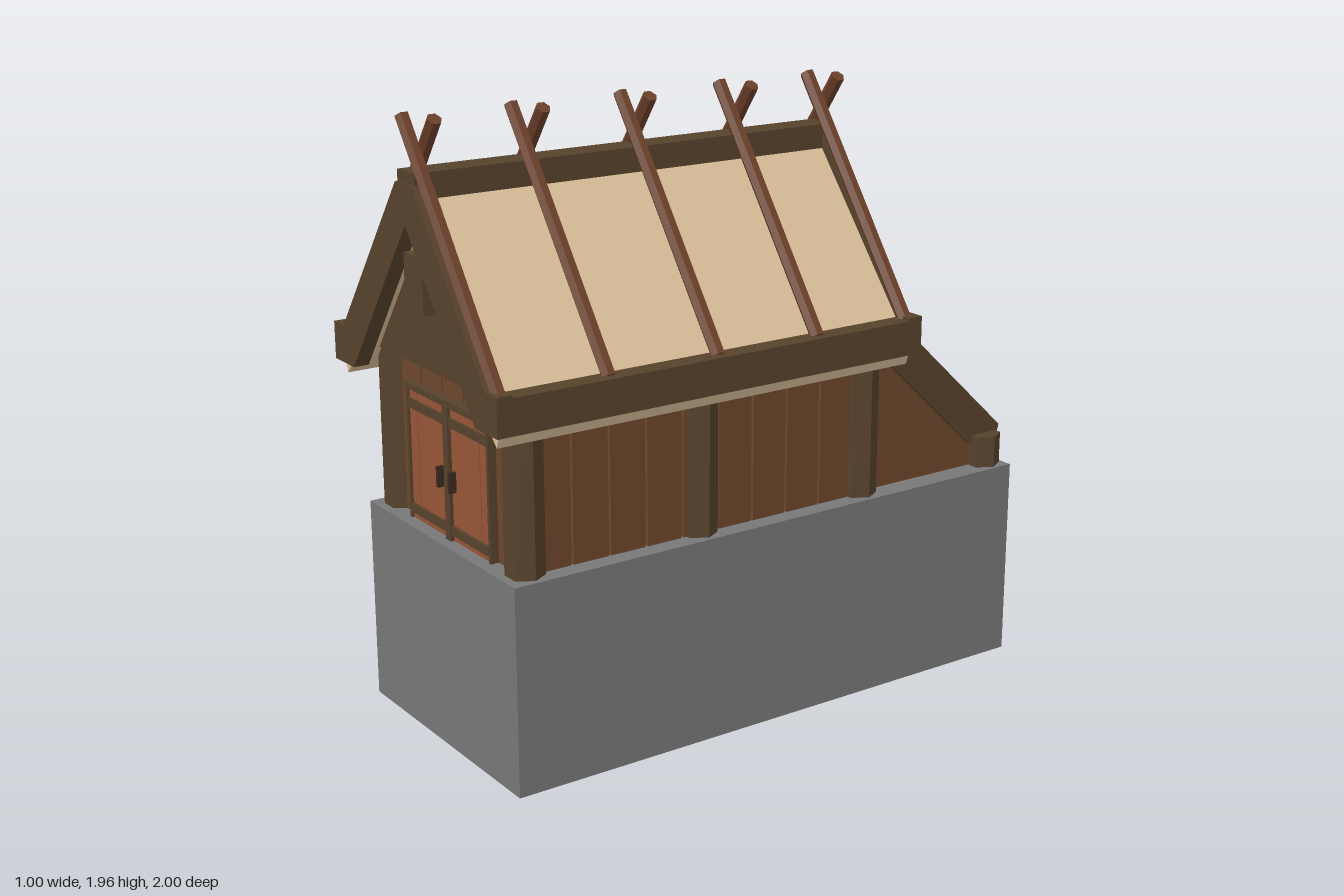
import * as THREE from 'three';

const mat = (name, color) => {
  const m = new THREE.MeshStandardMaterial({ color });
  m.name = name;
  return m;
};

export function createModel() {
  const stone = mat('stone', 0x787878);
  const thatch = mat('thatch', 0xdcc19b);
  const beamWood = mat('dark beam wood', 0x57432c);
  const plankWood = mat('plank wood', 0x6e472c);
  const redWood = mat('red wood', 0x985638);
  const poleWood = mat('pole wood', 0x6b4029);
  const iron = mat('iron', 0x3a2a20);

  const house = new THREE.Group();
  house.name = 'longhouse';

  const add = (name, geo, material, parent = house) => {
    const m = new THREE.Mesh(geo, material);
    m.name = name;
    parent.add(m);
    return m;
  };
  // box given by its lower and upper limits on each axis
  const box = (name, material, x0, x1, y0, y1, z0, z1) => {
    const m = add(name, new THREE.BoxGeometry(x1 - x0, y1 - y0, z1 - z0), material);
    m.position.set((x0 + x1) / 2, (y0 + y1) / 2, (z0 + z1) / 2);
    return m;
  };
  // outline in x,y pushed out from z0 to z1
  const prism = (name, material, pts, z0, z1) => {
    const shape = new THREE.Shape(pts.map(([x, y]) => new THREE.Vector2(x, y)));
    const geo = new THREE.ExtrudeGeometry(shape, { depth: z1 - z0, bevelEnabled: false });
    return add(name, geo.translate(0, 0, z0), material);
  };
  // outline in z,y pushed out from x0 to x1
  const sidePrism = (name, material, pts, x0, x1) => {
    const m = prism(name, material, pts.map(([z, y]) => [-z, y]), x0, x1);
    m.geometry.rotateY(Math.PI / 2);
    return m;
  };
  const mirrored = (pts) => [...pts, ...pts.filter((p) => p[0] !== 0).reverse().map(([x, y]) => [-x, y])];
  // hexagonal post with a corner turned outwards in x
  const post = (name, x, z, y0, y1) => {
    const geo = new THREE.CylinderGeometry(0.06, 0.06, y1 - y0, 6).toNonIndexed();
    geo.rotateY(Math.PI / 2);
    geo.computeVertexNormals();
    add(name, geo, beamWood).position.set(x, (y0 + y1) / 2, z);
  };

  // foundation
  box('foundation', stone, -0.45, 0.45, 0, 0.66, -0.98, 0.93);

  // walls of separate planks with narrow gaps
  const pitch = 0.13, gap = 0.004;
  for (const s of [-1, 1]) {
    for (let i = 0; i < 10; i++) {
      const z1 = 0.828 - i * pitch;
      box('sidePlank', plankWood, s * 0.375 - 0.015, s * 0.375 + 0.015, 0.65, 1.2,
        Math.max(z1 - pitch + gap, -0.4), z1 - gap);
    }
    for (const z of [0.85, 0.24, -0.385]) post('wallPost', s * 0.375, z, 0.65, 1.2);
  }
  for (const z of [0.85, -0.385]) {
    for (let i = -2; i <= 2; i++) {
      box('endPlank', plankWood, i * pitch - 0.065 + gap, i * pitch + 0.065 - gap, 0.65, 1.2, z - 0.015, z + 0.015);
    }
  }

  // double door
  for (const s of [-1, 1]) {
    const span = (a, b) => [Math.min(s * a, s * b), Math.max(s * a, s * b)];
    box('doorLeaf', redWood, ...span(0.012, 0.187), 0.66, 1.085, 0.86, 0.885);
    box('doorLeaf', redWood, ...span(0.191, 0.24), 0.66, 1.085, 0.86, 0.885);
    box('doorJamb', beamWood, ...span(0.238, 0.25), 0.66, 1.095, 0.86, 0.892);
    for (const y of [0.68, 1.02]) box('doorBand', beamWood, ...span(0.015, 0.24), y, y + 0.03, 0.88, 0.893);
    box('doorHandle', iron, ...span(0.03, 0.042), 0.82, 0.885, 0.88, 0.908);
  }
  box('doorLintel', beamWood, -0.25, 0.25, 1.08, 1.1, 0.86, 0.895);
  box('doorMiddleStrip', beamWood, -0.012, 0.018, 0.66, 1.085, 0.86, 0.897);

  // roof covering
  for (const s of [-1, 1]) {
    const slab = [[0, 1.78], [0, 1.69], [0.4, 1.15], [0.46, 1.09], [0.475, 1.135], [0.475, 1.188]];
    prism('roofSlope', thatch, slab.map(([x, y]) => [s * x, y]), -0.5, 0.98);
    box('eaveBeam', beamWood, s > 0 ? 0.425 : -0.5, s > 0 ? 0.5 : -0.425, 1.13, 1.24, -0.52, 0.995);
  }
  box('ridgeBeam', beamWood, -0.05, 0.05, 1.7, 1.795, -0.515, 0.992);

  // gables: a frame of sloping boards over a set-back panel
  const frame = [
    ...mirrored([[0.05, 1.76], [0.435, 1.25], [0.5, 1.25], [0.5, 1.13], [0.375, 1.13]]),
  ];
  frame.splice(5, 0, [0, 1.64]);
  const panel = mirrored([[0, 1.7], [0.4, 1.18]]);
  for (const [z, d] of [[0.95, 1], [-0.525, -1]]) {
    prism('gableFrame', beamWood, frame, z, z + 0.05);
    const p = d > 0 ? 0.88 : -0.44;
    prism('gablePanel', beamWood, panel, p, p + 0.03);
    const q = d > 0 ? 0.9 : -0.51;
    box('gableBlock', beamWood, -0.055, 0.055, 1.38, 1.55, q, q + 0.08);
  }

  // crossed roof poles
  const zRight = [0.968, 0.61, 0.228, -0.142, -0.49];
  const zLeft = [0.922, 0.565, 0.192, -0.188, -0.53];
  for (const [s, zs] of [[1, zRight], [-1, zLeft]]) {
    const from = new THREE.Vector2(s * 0.46, 1.235), to = new THREE.Vector2(s * -0.055, 1.945);
    const dir = to.clone().sub(from);
    for (const z of zs) {
      const geo = new THREE.CylinderGeometry(0.023, 0.023, dir.length(), 6).toNonIndexed();
      geo.computeVertexNormals();
      const m = add('roofPole', geo, poleWood);
      m.position.set((from.x + to.x) / 2, (from.y + to.y) / 2, z);
      m.rotation.z = Math.atan2(dir.y, dir.x) - Math.PI / 2;
    }
  }

  // lean-to at the back
  const slope = [[-0.45, 1.265], [-0.998, 0.752], [-0.98, 0.728], [-0.45, 1.225]];
  for (let i = 0; i < 7; i++) {
    const x = -0.35 + i * 0.1;
    sidePrism('leanToRoofPlank', redWood, slope, x + 0.002, x + 0.098);
  }
  for (const s of [-1, 1]) {
    const at = (x, t) => [s * x - t / 2, s * x + t / 2];
    sidePrism('leanToRake', beamWood,
      [[-0.44, 1.29], [-0.98, 0.785], [-0.97, 0.74], [-0.85, 0.74], [-0.44, 1.125]], ...at(0.366, 0.042));
    sidePrism('leanToWall', plankWood,
      [[-0.39, 0.65], [-0.39, 1.19], [-0.45, 1.16], [-0.9, 0.74], [-0.9, 0.65]], ...at(0.36, 0.025));
    post('leanToPost', s * 0.38, -0.915, 0.65, 0.765);
  }
  box('leanToSill', beamWood, -0.36, 0.36, 0.65, 0.735, -0.945, -0.9);

  return house;
}
